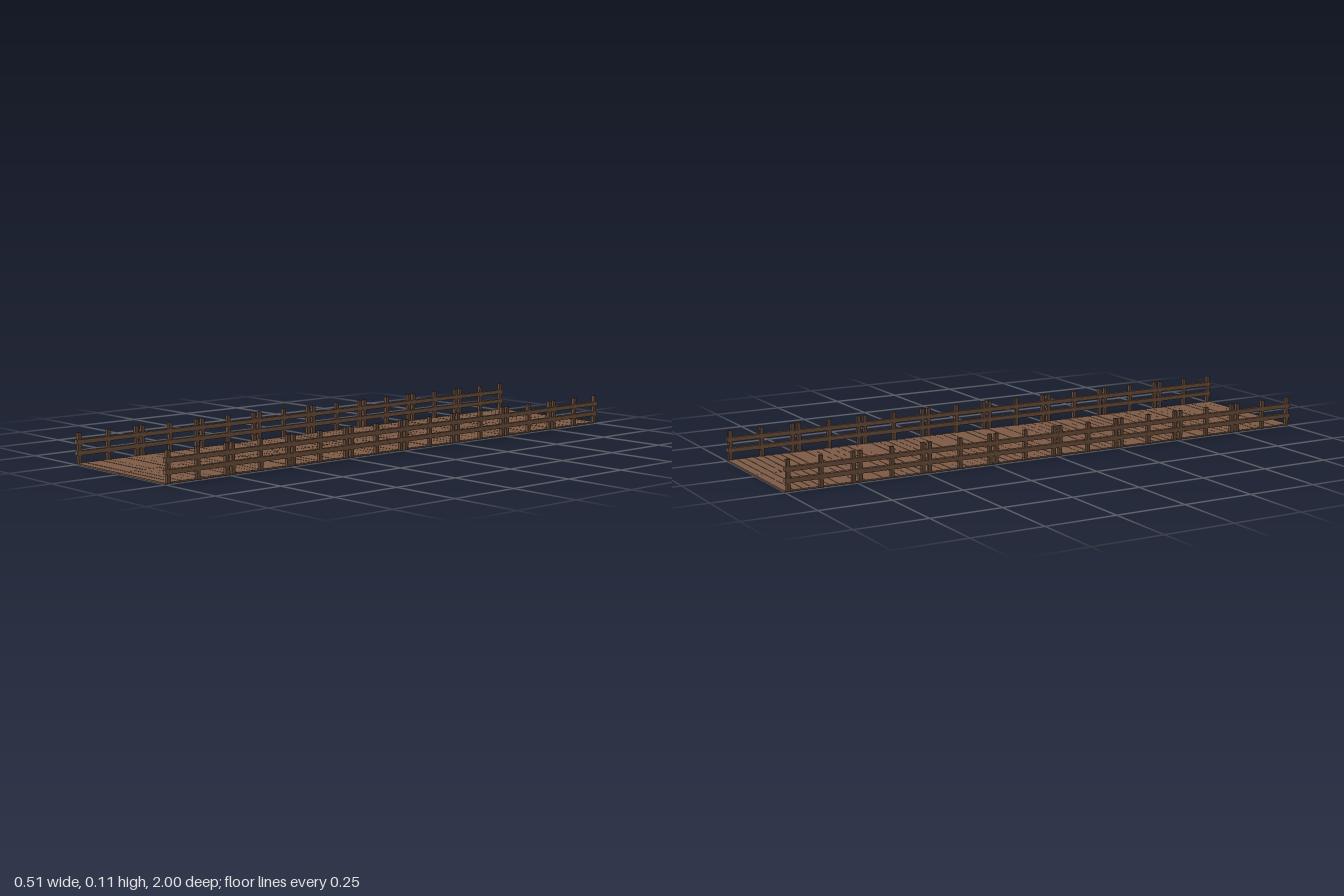
import * as THREE from 'three';

const SECTIONS = 8, SECTION_LENGTH = 0.25, PLANKS = 8;
const plankMaterial = new THREE.MeshStandardMaterial({ color: 0x7d5b45, flatShading: true });
const railMaterial = new THREE.MeshStandardMaterial({ color: 0x755641, flatShading: true });
const postMaterial = new THREE.MeshStandardMaterial({ color: 0x654a38, flatShading: true });

// Small repeatable generator for the wear on the planks
function seeded(seed) {
  return () => {
    seed = (seed * 16807) % 2147483647;
    return seed / 2147483647;
  };
}

function addBox(parent, name, size, position, material) {
  const mesh = new THREE.Mesh(new THREE.BoxGeometry(...size), material);
  mesh.name = name;
  mesh.position.set(...position);
  parent.add(mesh);
  return mesh;
}

// Flat board along x with slightly uneven sides and a chipped +x end
function plankGeometry(length, width, thickness, rand) {
  const h = width / 2;
  const chip = 0.003 + rand() * 0.006;
  const wobble = () => (rand() - 0.5) * 0.0012;
  const shape = new THREE.Shape([
    [0, -h], [length * 0.5, -h + wobble()], [length - chip, -h],
    [length, -h + chip * 0.6], [length, h],
    [length * 0.6, h + wobble()], [0, h],
  ].map(([x, y]) => new THREE.Vector2(x, y)));
  const geometry = new THREE.ExtrudeGeometry(shape, { depth: thickness, bevelEnabled: false });
  return geometry.rotateX(-Math.PI / 2);
}

export function createModel() {
  const bridge = new THREE.Group();
  bridge.name = 'plankWalkway';
  const rand = seeded(41);
  const pitch = SECTION_LENGTH / PLANKS;

  for (let s = 0; s < SECTIONS; s++) {
    const section = new THREE.Group();
    section.name = 'walkwaySection';
    section.position.z = 1 - SECTION_LENGTH * (s + 0.5);
    bridge.add(section);

    // Deck: two rows of boards meeting along the centre line
    for (const start of [-0.244, 0]) {
      for (let i = 0; i < PLANKS; i++) {
        const plank = new THREE.Mesh(plankGeometry(0.244, pitch - 0.0012, 0.005, rand), plankMaterial);
        plank.name = 'deckPlank';
        plank.position.set(start, rand() * 0.001, (i + 0.5) * pitch - SECTION_LENGTH / 2);
        section.add(plank);
      }
    }

    // Fence on each side: three posts and two rails
    for (const side of [-1, 1]) {
      const fence = new THREE.Group();
      fence.name = side > 0 ? 'leftFence' : 'rightFence';
      fence.position.x = side * 0.2455;
      section.add(fence);
      for (const z of [-0.113, 0, 0.113]) {
        addBox(fence, 'fencePost', [0.012, 0.105, 0.013], [0, 0.0545, z], postMaterial);
      }
      for (const y of [0.0385, 0.0755]) {
        addBox(fence, 'fenceRail', [0.015, 0.015, SECTION_LENGTH], [0, y, 0], railMaterial);
      }
    }
  }
  return bridge;
}
